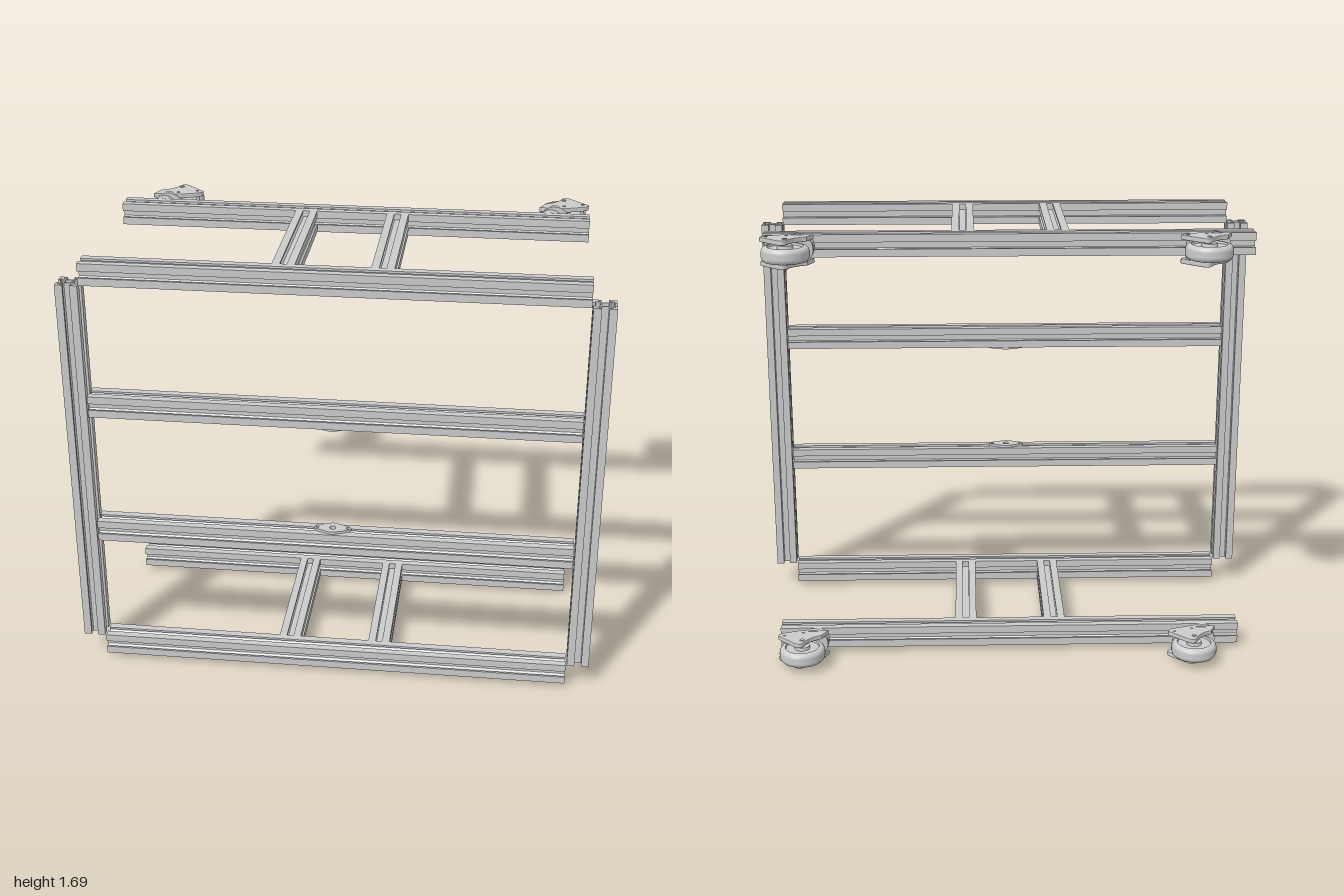
import * as THREE from 'three';
import { toCreasedNormals } from 'three/addons/utils/BufferGeometryUtils.js';

const H = 0.042; // half the width of a slotted bar
const FRONT_Z = 0.447, REAR_Z = -0.228;
const material = new THREE.MeshStandardMaterial({ color: 0xcccccc });

function add(parent, name, geometry, x = 0, y = 0, z = 0) {
  const mesh = new THREE.Mesh(geometry, material);
  mesh.name = name;
  mesh.position.set(x, y, z);
  parent.add(mesh);
  return mesh;
}

// Square bar section: a T-slot in each side, diagonal webs and a hollow core
function slotSection() {
  const a = 0.013, t = 0.008, b = 0.026, d = 0.006, c = 0.018, e = c - d;
  const side = [[H, H], [a, H], [a, H - t], [b, H - t], [b, b + d], [e, c],
    [-e, c], [-b, b + d], [-b, H - t], [-a, H - t], [-a, H]];
  const points = [];
  for (let k = 0; k < 4; k++) {
    for (const [x, y] of side) {
      points.push(new THREE.Vector2(x, y).rotateAround(new THREE.Vector2(), k * Math.PI / 2));
    }
  }
  const shape = new THREE.Shape(points);
  const q = 0.013;
  shape.holes.push(new THREE.Path([[-q, -q], [-q, q], [q, q], [q, -q]].map(p => new THREE.Vector2(...p))));
  return shape;
}

function barGeometry(length, axis) {
  const g = new THREE.ExtrudeGeometry(slotSection(), { depth: length, bevelEnabled: false });
  g.translate(0, 0, -length / 2);
  if (axis === 'x') g.rotateY(Math.PI / 2);
  if (axis === 'y') g.rotateX(Math.PI / 2);
  return g;
}

// Cylinder along y, or along z when turned
function disc(r, length, alongZ = false) {
  const g = new THREE.CylinderGeometry(r, r, length, 32);
  return alongZ ? g.rotateX(Math.PI / 2) : g;
}

// Swivel caster: stem along z, wheel turning about y
function makeCaster() {
  const caster = new THREE.Group();
  caster.name = 'caster';
  add(caster, 'stem', disc(0.046, 0.045, true), 0, 0, -0.02);
  add(caster, 'swivelCollar', disc(0.058, 0.02, true), 0.014, 0, -0.042);

  // Fork cheeks on both sides of the wheel
  const s = new THREE.Shape();
  s.moveTo(-0.046, 0.036);
  s.lineTo(0.06, 0.036);
  s.lineTo(0.125, 0.058);
  s.quadraticCurveTo(0.15, 0.07, 0.145, 0.088);
  s.lineTo(0.075, 0.158);
  s.quadraticCurveTo(0.058, 0.172, 0.044, 0.158);
  s.quadraticCurveTo(0.025, 0.105, -0.025, 0.085);
  s.closePath();
  const cheek = new THREE.ExtrudeGeometry(s, {
    depth: 0.012, bevelEnabled: true, bevelThickness: 0.003, bevelSize: 0.003, bevelOffset: -0.003, bevelSegments: 2
  });
  cheek.translate(0, 0, -0.006).rotateX(-Math.PI / 2);
  for (const side of [-1, 1]) add(caster, 'forkCheek', cheek, 0, side * 0.044, 0);

  // Wheel with a rounded tread and recessed sides
  const half = [[0.0885, 0], [0.088, 0.009], [0.085, 0.019], [0.079, 0.026], [0.072, 0.028],
    [0.066, 0.028], [0.064, 0.02], [0.03, 0.02], [0.028, 0.032], [0, 0.032]];
  const profile = [...half.slice(1).reverse().map(([r, y]) => [r, -y]), ...half];
  const wheel = new THREE.LatheGeometry(profile.map(p => new THREE.Vector2(...p)), 48);
  add(caster, 'wheel', toCreasedNormals(wheel, 0.6), 0.049, 0, -0.13);
  add(caster, 'axle', disc(0.009, 0.112), 0.049, 0, -0.13);
  add(caster, 'rivet', disc(0.006, 0.11), 0.122, 0, -0.085);
  add(caster, 'rivet', disc(0.006, 0.11), 0.05, 0, -0.06);
  return caster;
}

// Flat flange: round in the middle, tapering to small rounded ends, with holes
function flangeGeometry() {
  const s = new THREE.Shape();
  const R = 0.036, r = 0.014, x = 0.058;
  const t = Math.acos((R - r) / x);
  s.absarc(x, 0, r, -t, t, false);
  s.absarc(0, 0, R, t, Math.PI - t, false);
  s.absarc(-x, 0, r, Math.PI - t, Math.PI + t, false);
  s.absarc(0, 0, R, Math.PI + t, 2 * Math.PI - t, false);
  s.closePath();
  for (const [cx, hole] of [[-x, 0.006], [0, 0.012], [x, 0.006]]) {
    s.holes.push(new THREE.Path().absarc(cx, 0, hole, 0, Math.PI * 2, true));
  }
  return new THREE.ExtrudeGeometry(s, { depth: 0.01, bevelEnabled: false, curveSegments: 16 })
    .translate(0, 0, -0.005).rotateX(-Math.PI / 2);
}

export function createModel() {
  const model = new THREE.Group();
  model.name = 'castorFrame';
  const longBar = barGeometry(1.824, 'x');
  const upright = barGeometry(1.492, 'y');
  const crossBar = barGeometry(FRONT_Z - REAR_Z - 2 * H, 'z');

  // Upright rectangular frame
  for (const side of [-1, 1]) add(model, 'upright', upright, side * (1 - H), 0.852, FRONT_Z);
  for (const y of [0.587, 1.117]) add(model, 'middleRail', longBar, 0, y, FRONT_Z);

  // Matching top and bottom arms
  for (const y of [0.064, 1.641]) {
    add(model, 'frontRail', longBar, 0, y, FRONT_Z);
    add(model, 'rearRail', longBar, 0, y, REAR_Z);
    for (const x of [-0.18, 0.176]) add(model, 'crossBar', crossBar, x, y, (FRONT_Z + REAR_Z) / 2);
    for (const x of [-0.767, 0.765]) {
      const caster = makeCaster();
      caster.position.set(x, y - 0.002, REAR_Z - H);
      model.add(caster);
    }
  }

  // Flanges facing each other on the middle rails
  const flange = flangeGeometry();
  for (const y of [0.634, 1.07]) add(model, 'flange', flange, -0.002, y, FRONT_Z);
  return model;
}
